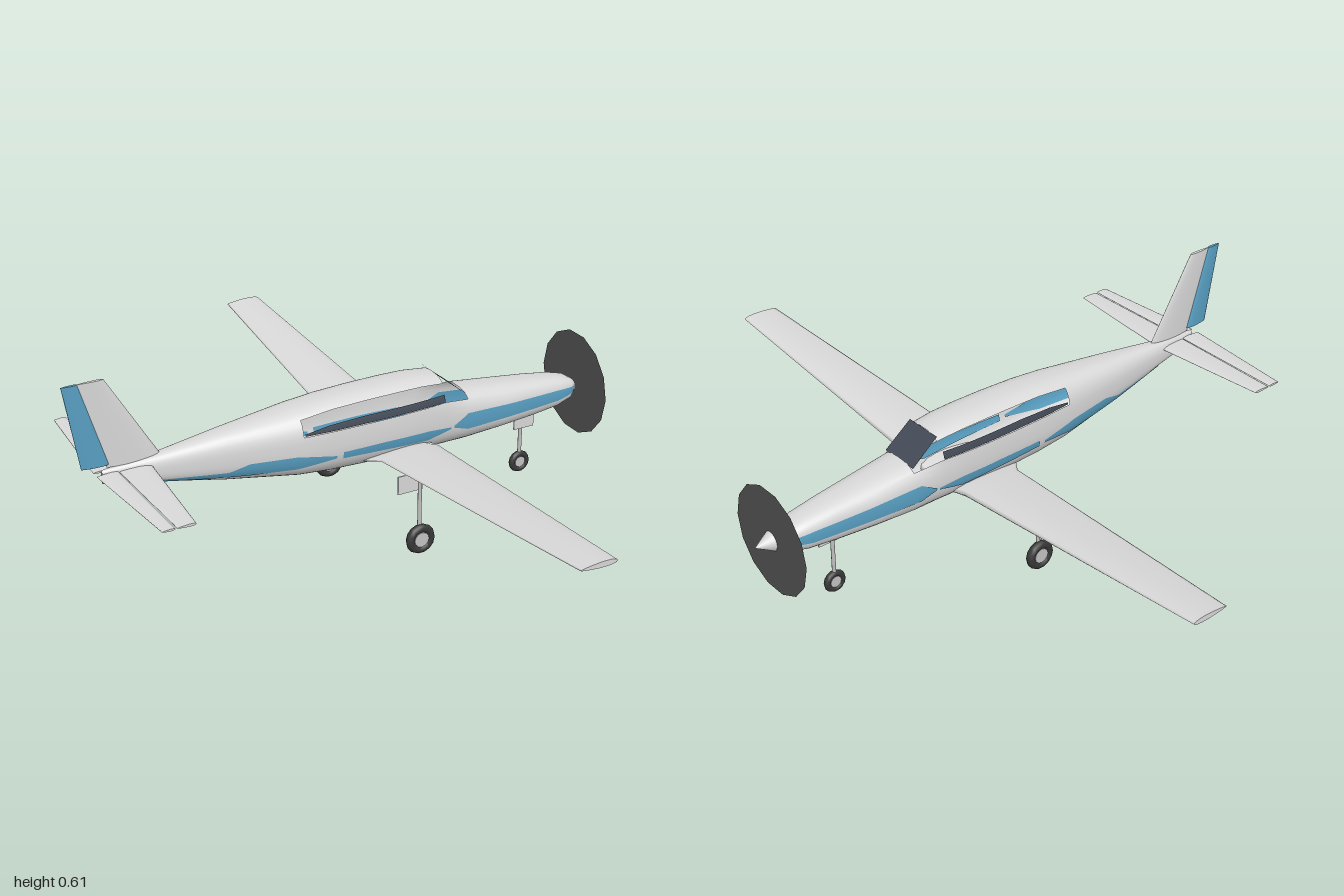
import * as THREE from 'three';

const mat = (name, color) => new THREE.MeshStandardMaterial({ name, color, side: THREE.DoubleSide });

// Hull stations: x, bottom, top, half width, window sill, window head
const HULL = [
  [-0.75, 0.315, 0.355, 0.008, 0.34, 0.35], [-0.6, 0.288, 0.368, 0.027, 0.34, 0.36],
  [-0.4, 0.248, 0.393, 0.058, 0.35, 0.38], [-0.18, 0.212, 0.418, 0.087, 0.352, 0.397],
  [-0.08, 0.204, 0.426, 0.094, 0.353, 0.408], [0.03, 0.2, 0.43, 0.097, 0.354, 0.412],
  [0.13, 0.198, 0.431, 0.098, 0.355, 0.413], [0.21, 0.198, 0.43, 0.096, 0.356, 0.412],
  [0.285, 0.198, 0.422, 0.091, 0.357, 0.405], [0.37, 0.2, 0.358, 0.085, 0.339, 0.346],
  [0.5, 0.204, 0.344, 0.074, 0.32, 0.335], [0.62, 0.211, 0.331, 0.063, 0.31, 0.323],
  [0.71, 0.22, 0.318, 0.054, 0.3, 0.312], [0.76, 0.234, 0.305, 0.043, 0.29, 0.3],
  [0.783, 0.25, 0.29, 0.026, 0.28, 0.287], [0.79, 0.267, 0.273, 0.003, 0.27, 0.272],
];
const POW = 2.6;
const bend = s => Math.sign(s) * Math.abs(s) ** (2 / POW);

// Half width of the hull at a given length and height
function hullZ(x, y) {
  let i = 0;
  while (i < HULL.length - 2 && HULL[i + 1][0] < x) i++;
  const t = (x - HULL[i][0]) / (HULL[i + 1][0] - HULL[i][0]);
  const [, b, top, w] = HULL[i].map((v, k) => v + (HULL[i + 1][k] - v) * t);
  const v = Math.min(1, Math.abs((y - (b + top) / 2) / ((top - b) / 2)));
  return w * (1 - v ** POW) ** (1 / POW);
}

function geometry(points, index) {
  const g = new THREE.BufferGeometry();
  g.setAttribute('position', new THREE.Float32BufferAttribute(points, 3));
  g.setIndex(index);
  g.computeVertexNormals();
  return g;
}

// Fuselage skin with open side windows and an opening for the windscreen
function hullGeometry() {
  const LOW = 12, MID = 3, HIGH = 6, HALF = LOW + MID + HIGH, N = HALF * 2;
  const points = [], index = [];
  for (const [x, b, top, w, sill, head] of HULL) {
    const c = (b + top) / 2, h = (top - b) / 2;
    const angle = y => { const v = (y - c) / h; return Math.asin(Math.sign(v) * Math.abs(v) ** (POW / 2)); };
    const a = [-Math.PI / 2, angle(sill), angle(head), Math.PI / 2];
    for (let k = 0; k < N; k++) {
      const j = k <= HALF ? k : N - k;
      const p = j <= LOW ? a[0] + (a[1] - a[0]) * j / LOW
        : j <= LOW + MID ? a[1] + (a[2] - a[1]) * (j - LOW) / MID
          : a[2] + (a[3] - a[2]) * (j - LOW - MID) / HIGH;
      points.push(x, c + h * bend(Math.sin(p)), (k <= HALF ? 1 : -1) * w * bend(Math.max(0, Math.cos(p))));
    }
  }
  for (let i = 0; i < HULL.length - 1; i++) {
    const x = HULL[i][0];
    for (let k = 0; k < N; k++) {
      const row = k < HALF ? k : N - 1 - k;
      const window = x >= -0.18 && x < 0.28 && row >= LOW && row < LOW + MID;
      const windscreen = x > 0.28 && x < 0.3 && row >= LOW;
      if (window || windscreen) continue;
      const a = i * N + k, b = i * N + (k + 1) % N, c = b + N, d = a + N;
      index.push(a, d, b, b, d, c);
    }
  }
  for (let k = 1; k < N - 1; k++) index.push(0, k, k + 1);
  return geometry(points, index);
}

// Aerofoil between sections: front x, back x, span position, height, thickness
function foilGeometry(sections, upright = false) {
  const N = 16, points = [], index = [];
  for (const [front, back, span, lift, thick] of sections) {
    for (let k = 0; k < N; k++) {
      const a = k / N * Math.PI * 2, u = (1 - Math.cos(a)) / 2;
      const x = front + (back - front) * u;
      const off = lift + Math.sin(a) * thick * 0.62 * (1.15 - 0.7 * u);
      points.push(x, ...(upright ? [span, off] : [off, span]));
    }
  }
  for (let i = 0; i < sections.length - 1; i++) {
    for (let k = 0; k < N; k++) {
      const a = i * N + k, b = i * N + (k + 1) % N;
      index.push(a, b, a + N, b, b + N, a + N);
    }
  }
  // Separate cap corners keep the tips crisp
  for (const end of [0, sections.length - 1]) {
    const base = points.length / 3;
    points.push(...points.slice(end * N * 3, (end + 1) * N * 3));
    for (let k = 1; k < N - 1; k++) index.push(...(end ? [base, base + k, base + k + 1] : [base, base + k + 1, base + k]));
  }
  return geometry(points, index);
}

// Strip following the hull side from points of x, lower y, upper y
function stripGeometry(path, offset) {
  const points = [], index = [], ROWS = 4, COLS = 5;
  let n = 0;
  for (let i = 0; i < path.length - 1; i++) {
    for (let s = i ? 1 : 0; s <= COLS; s++, n++) {
      const [x, lo, hi] = path[i].map((v, k) => v + (path[i + 1][k] - v) * s / COLS);
      for (let r = 0; r <= ROWS; r++) {
        const y = lo + (hi - lo) * r / ROWS;
        points.push(x, y, hullZ(x, y) + offset);
      }
    }
  }
  for (let i = 0; i < n - 1; i++) {
    for (let r = 0; r < ROWS; r++) {
      const a = i * (ROWS + 1) + r, b = a + ROWS + 1;
      index.push(a, b, a + 1, a + 1, b, b + 1);
    }
  }
  return geometry(points, index);
}

export function createModel() {
  const model = new THREE.Group();
  model.name = 'airplane';
  const white = mat('bodyPaint', 0xd8d8d8), blue = mat('bluePaint', 0x589fc2);
  const dark = mat('darkGlass', 0x434a56), rubber = mat('rubber', 0x383838);
  const metal = mat('metal', 0xc2c2c2), blades = mat('propeller', 0x525252);
  const add = (name, geo, material, parent = model) => {
    const m = new THREE.Mesh(geo, material);
    m.name = name;
    parent.add(m);
    return m;
  };

  add('fuselage', hullGeometry(), white);

  // Flat raked windscreen
  add('windscreen', geometry(
    [0.285, 0.42, 0.06, 0.37, 0.352, 0.062, 0.37, 0.352, -0.062, 0.285, 0.42, -0.06],
    [0, 1, 2, 0, 2, 3]), dark);

  // Wings, tailplanes, panes and stripes are mirrored
  const stripes = [
    [[-0.6, 0.287, 0.298], [-0.4, 0.268, 0.285], [-0.34, 0.262, 0.302], [-0.2, 0.255, 0.297], [-0.08, 0.267, 0.275]],
    [[-0.06, 0.262, 0.283], [0.08, 0.257, 0.284], [0.22, 0.25, 0.282], [0.3, 0.268, 0.274]],
    [[0.31, 0.27, 0.277], [0.36, 0.253, 0.304], [0.52, 0.252, 0.294], [0.7, 0.254, 0.288], [0.785, 0.266, 0.28]],
  ];
  const pane = [[-0.175, 0.354, 0.36], [-0.1, 0.354, 0.372], [0, 0.355, 0.377], [0.28, 0.357, 0.379]];
  for (const side of [1, -1]) {
    const half = new THREE.Group();
    half.name = side > 0 ? 'rightHalf' : 'leftHalf';
    half.scale.z = side;
    model.add(half);
    add('wing', foilGeometry([[0.245, -0.02, 0.03, 0.217, 0.028], [0.24, 0.045, 0.12, 0.24, 0.032], [0.222, 0.107, 1, 0.31, 0.016]]), white, half);
    add('tailplane', foilGeometry([[-0.61, -0.705, 0, 0.345, 0.01], [-0.645, -0.7, 0.375, 0.345, 0.007]]), white, half);
    add('elevator', foilGeometry([[-0.706, -0.77, 0.012, 0.345, 0.008], [-0.704, -0.742, 0.375, 0.345, 0.006]]), white, half);
    add('lowerPane', stripGeometry(pane, -0.001), dark, half);
    for (const s of stripes) {
      add('sideStripe', stripGeometry(s, 0.002), blue, half);
      add('innerStripe', stripGeometry(s, -0.004), blue, half);
    }
  }

  // Fin and rudder
  add('fin', foilGeometry([[-0.575, -0.735, 0.36, 0, 0.016], [-0.73, -0.808, 0.62, 0, 0.009]], true), white);
  add('rudder', foilGeometry([[-0.728, -0.808, 0.37, 0, 0.015], [-0.804, -0.85, 0.62, 0, 0.009]], true), blue);

  // Propeller disc and spinner
  const disc = add('propellerDisc', new THREE.CircleGeometry(0.163, 14), blades);
  disc.rotation.y = Math.PI / 2;
  disc.position.set(0.797, 0.275, 0);
  const spinner = add('spinner', new THREE.ConeGeometry(0.029, 0.052, 20), white);
  spinner.rotation.z = -Math.PI / 2;
  spinner.position.set(0.824, 0.274, 0);

  // Landing gear: wheel, hub, strut and door
  const gear = (name, x, z, r, top, doorZ, door) => {
    const g = new THREE.Group();
    g.name = name;
    model.add(g);
    const tire = add('tire', new THREE.TorusGeometry(r * 0.72, r * 0.28, 8, 14), rubber, g);
    tire.position.set(x, 0.05, z);
    const hub = add('hub', new THREE.CylinderGeometry(r * 0.5, r * 0.5, r * 0.42, 12), metal, g);
    hub.rotation.x = Math.PI / 2;
    hub.position.set(x, 0.05, z);
    const legZ = z - Math.sign(z) * 0.007;
    const strut = add('strut', new THREE.CylinderGeometry(0.006, 0.006, top - 0.05, 8), metal, g);
    strut.position.set(x, (top + 0.05) / 2, legZ);
    const plate = add('gearDoor', new THREE.BoxGeometry(door[0], door[1], 0.004), white, g);
    plate.position.set(x, door[2], doorZ);
  };
  for (const s of [1, -1]) gear('mainGear', 0.09, s * 0.27, 0.046, 0.235, s * 0.21, [0.08, 0.056, 0.2]);
  gear('noseGear', 0.605, 0, 0.035, 0.23, 0.016, [0.07, 0.045, 0.193]);

  return model;
}
